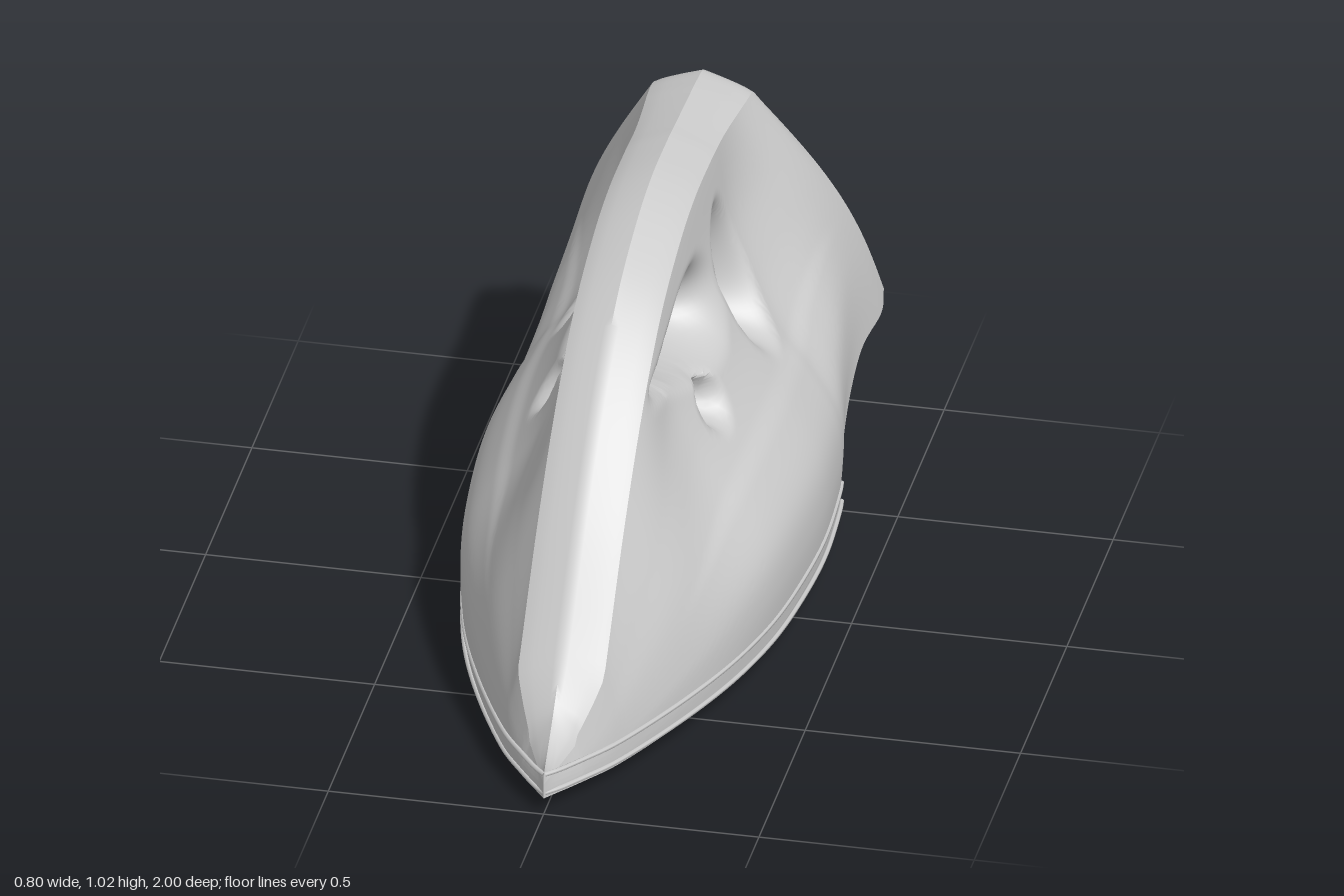
import * as THREE from 'three';
import { mergeGeometries, mergeVertices, toCreasedNormals } from 'three/addons/utils/BufferGeometryUtils.js';

const { lerp, smoothstep } = THREE.MathUtils;

// Sections from nose to tail: bottom z, bottom y, top z, top y, half width
const sections = [
  [1, 0.04, 1, 0.1, 0], [0.9, 0.04, 0.9, 0.2, 0.075], [0.8, 0.04, 0.8, 0.32, 0.14],
  [0.6, 0.04, 0.6, 0.57, 0.235], [0.4, 0.04, 0.4, 0.77, 0.31], [0.2, 0.04, 0.2, 0.91, 0.36],
  [0, 0.04, 0, 0.985, 0.385], [-0.2, 0.04, -0.17, 1.015, 0.395], [-0.4, 0.04, -0.34, 1.015, 0.385],
  [-0.48, 0.05, -0.42, 1.01, 0.375], [-0.58, 0.13, -0.5, 1.005, 0.36], [-0.68, 0.21, -0.58, 1, 0.355],
  [-0.8, 0.26, -0.65, 0.995, 0.355], [-0.95, 0.265, -0.72, 0.985, 0.365], [-1, 0.3, -0.76, 0.955, 0.36],
];
const LAST = sections.length - 1;
const curve = (pick) => new THREE.CatmullRomCurve3(
  sections.map((s) => new THREE.Vector3(...pick(s))), false, 'catmullrom', 0.5);
const bottomCurve = curve((s) => [s[4], s[1], s[0]]);
const topCurve = curve((s) => [0, s[3], s[2]]);

// Height profiles: how far the side bulges beyond the handle strip
const profile = (pts) => (v) => {
  let i = 0;
  while (i < pts.length - 2 && v > pts[i + 1][0]) i++;
  const at = (k) => pts[Math.min(Math.max(k, 0), pts.length - 1)];
  const [x0, y0] = at(i), [x1, y1] = at(i + 1);
  const slope = (k) => (at(k + 1)[1] - at(k - 1)[1]) / (at(k + 1)[0] - at(k - 1)[0]);
  const h = x1 - x0, t = (v - x0) / h, t2 = t * t, t3 = t2 * t;
  return (2 * t3 - 3 * t2 + 1) * y0 + (t3 - 2 * t2 + t) * h * slope(i)
    + (3 * t2 - 2 * t3) * y1 + (t3 - t2) * h * slope(i + 1);
};
const noseProfile = profile([[0, 0.98], [0.1, 1], [0.25, 0.97], [0.5, 0.76], [0.75, 0.4], [1, 0]]);
const gripProfile = profile([[0, 0.98], [0.17, 1.02], [0.29, 0.96], [0.42, 0.72], [0.48, 0.56],
  [0.62, 0.3], [0.78, 0.1], [1, 0]]);

// Openings under the handle: centre z, y, radii, taper towards the nose
const holes = [
  { z: 0.07, y: 0.735, rz: 0.19, ry: 0.068, taper: 0.45 },
  { z: -0.335, y: 0.685, rz: 0.07, ry: 0.125, taper: 0 },
  { z: 0.06, y: 0.575, rz: 0.028, ry: 0.03, taper: 0 },
];
const radius = (h, z, y) => {
  const a = (z - h.z) / h.rz;
  return Math.hypot(a, (y - h.y) / (h.ry * (1 - h.taper * Math.max(-1, Math.min(1, a)))));
};

// Point on the left side: u runs nose to tail, v bottom to handle edge
function sidePoint(u, v) {
  const b = bottomCurve.getPoint(u), t = topCurve.getPoint(u), P = Math.max(b.x, 0);
  const edge = lerp(b.y, t.y, t.y < 0.2 ? 0.6 : 1) - (t.y < 0.2 ? 0 : 0.045);
  let z = lerp(b.z, t.z, v), y = lerp(b.y, edge, v);
  const i = u * LAST, strip = Math.min(0.1, P * 0.75);
  const f = lerp(noseProfile(v), gripProfile(v), smoothstep(i, 3, 5));
  const rear = lerp(P, 0.115, v) + 0.045 * Math.sin(Math.PI * v);
  let x = lerp(strip + (P - strip) * f, rear, smoothstep(i, 9, 13));
  let inside = false;
  for (const h of holes) {
    const r = radius(h, z, y);
    if (r < 1) {
      // snap to the rim of the opening
      inside = true;
      x = 0;
      z = h.z + (z - h.z) / Math.max(r, 0.01);
      y = h.y + (y - h.y) / Math.max(r, 0.01);
      break;
    }
    const reach = 0.045 / Math.min(h.rz, h.ry);
    const c = Math.min(1, (r - 1) / reach);
    x *= Math.sqrt(1 - (1 - c) * (1 - c));
  }
  return { x, y, z, inside };
}

// Grid surface mirrored to both sides; cells wholly inside an opening are left out
function mirroredSurface(nu, nv, fn, crease) {
  const halves = [1, -1].map((side) => {
    const pos = [], index = [], cut = [];
    for (let i = 0; i <= nu; i++) for (let j = 0; j <= nv; j++) {
      const p = fn(i / nu, j / nv);
      pos.push(side * p.x, p.y, p.z);
      cut.push(!!p.inside);
    }
    for (let i = 0; i < nu; i++) for (let j = 0; j < nv; j++) {
      const a = i * (nv + 1) + j, b = a + nv + 1;
      for (const [p, q, r] of [[a, b, b + 1], [a, b + 1, a + 1]]) {
        if (cut[p] && cut[q] && cut[r]) continue;
        index.push(...(side > 0 ? [p, q, r] : [p, r, q]));
      }
    }
    const g = new THREE.BufferGeometry();
    g.setAttribute('position', new THREE.Float32BufferAttribute(pos, 3));
    g.setIndex(index);
    return g;
  });
  return toCreasedNormals(mergeVertices(mergeGeometries(halves), 1e-4), crease);
}

export function createModel() {
  const group = new THREE.Group();
  const material = new THREE.MeshStandardMaterial({ color: 0xcccccc, side: THREE.DoubleSide });
  const add = (name, geometry) => {
    const mesh = new THREE.Mesh(geometry, material);
    mesh.name = name;
    group.add(mesh);
  };

  // Sides with the hollowed grip and its openings
  add('body', mirroredSurface(180, 84, sidePoint, 1.1));

  // Gently peaked strip along the nose, handle and back edge
  add('handleStrip', mirroredSurface(90, 6, (u, v) => {
    const e = sidePoint(u, 1), t = topCurve.getPoint(u);
    return {
      x: e.x * (1 - v),
      y: lerp(e.y, t.y, Math.pow(v, 0.8)),
      z: t.z,
    };
  }, 0.6));

  // Sloping back panel, slightly dished
  add('backPanel', mirroredSurface(8, 30, (u, v) => {
    const e = sidePoint(1, v);
    const dish = 0.015 * Math.sin(Math.PI * v) * Math.sin(u * Math.PI / 2);
    return { x: e.x * (1 - u), y: e.y, z: e.z + dish };
  }, 0.6));

  // Underside with the raised sole and the tail overhang
  add('sole', mirroredSurface(90, 10, (u, v) => {
    const e = sidePoint(u, 0);
    const depth = 0.04 * smoothstep(e.z, -0.42, -0.34) * (1 - smoothstep(e.z, 0.2, 0.85));
    return { x: e.x * v, y: e.y - depth * (1 - smoothstep(v, 0.75, 0.98)), z: e.z };
  }, 0.6));

  // Thin rim around the foot of the body
  const rim = [1, -1].flatMap((side) => [0.05, 0.098].map((y) => {
    const pts = [];
    for (let i = 0; i <= 24; i++) {
      const p = bottomCurve.getPoint((i / 24) * 0.62);
      pts.push(new THREE.Vector3(side * Math.max(p.x, 0), y, Math.min(p.z, 0.992)));
    }
    return new THREE.TubeGeometry(new THREE.CatmullRomCurve3(pts), 60, 0.006, 6);
  }));
  add('footRim', mergeGeometries(rim));
  return group;
}
